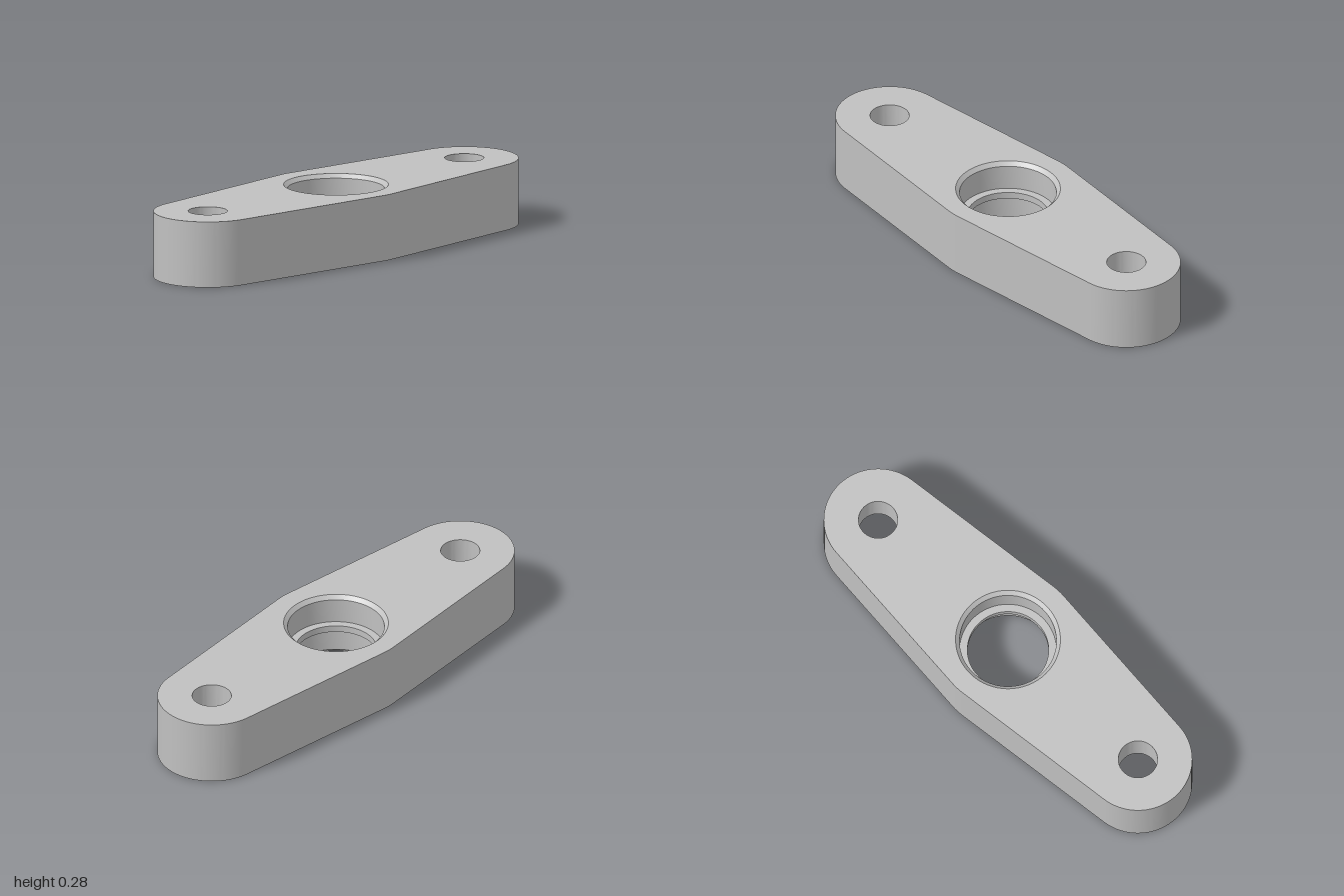
import * as THREE from 'three';
import { toCreasedNormals } from 'three/addons/utils/BufferGeometryUtils.js';

const HEIGHT = 0.2835;
const END_Z = 0.77, END_R = 0.23, MID_R = 0.307;
const BOLT_R = 0.083, HEX_R = 0.16, HEX_DEPTH = 0.13;
const RIM_R = 0.222, BORE_R = 0.205, LIP_R = 0.172, CHAMFER = 0.017;
const LIP_LOW = HEIGHT / 2 - 0.015, LIP_HIGH = HEIGHT / 2 + 0.015;
const SEG = 32; // curve divisions, giving 64 sides per circle

// Tapered plate outline: tangent hull of a middle circle and two end circles
function outline() {
  const t = Math.asin((MID_R - END_R) / END_Z);
  const s = new THREE.Shape();
  s.absarc(0, 0, MID_R, -t, t);
  s.absarc(0, END_Z, END_R, t, Math.PI - t);
  s.absarc(0, 0, MID_R, Math.PI - t, Math.PI + t);
  s.absarc(0, -END_Z, END_R, Math.PI + t, 2 * Math.PI - t);
  s.closePath();
  return s;
}

const circle = (y, r) => new THREE.Path().absarc(0, y, r, 0, Math.PI * 2);

// Hexagon with corners on the x axis
function hexPoints(y) {
  return Array.from({ length: 6 }, (_, i) => new THREE.Vector2(
    HEX_R * Math.cos(i * Math.PI / 3), y + HEX_R * Math.sin(i * Math.PI / 3)));
}

// Flat face at a height, facing up or down
function face(shape, y, up) {
  return new THREE.ShapeGeometry(shape, SEG)
    .rotateX(up ? -Math.PI / 2 : Math.PI / 2).translate(0, y, 0);
}

// Inward-facing surface of revolution; the profile runs from top to bottom
function bore(profile, sides = SEG * 2, start = 0) {
  const pts = profile.map(([r, y]) => new THREE.Vector2(r, y));
  const g = new THREE.LatheGeometry(pts, sides, start);
  g.deleteAttribute('uv');
  return toCreasedNormals(g, 0.5);
}

// Outward-facing upright wall along the outline
function wall(shape) {
  const pts = shape.getPoints(SEG);
  const pos = [];
  pts.forEach((a, i) => {
    const b = pts[(i + 1) % pts.length];
    if (a.distanceTo(b) < 1e-6) return;
    const A = [a.x, 0, -a.y], B = [b.x, 0, -b.y];
    const C = [b.x, HEIGHT, -b.y], D = [a.x, HEIGHT, -a.y];
    pos.push(...A, ...B, ...C, ...A, ...C, ...D);
  });
  const g = new THREE.BufferGeometry();
  g.setAttribute('position', new THREE.Float32BufferAttribute(pos, 3));
  return toCreasedNormals(g, 0.5);
}

export function createModel() {
  const group = new THREE.Group();
  group.name = 'flangePlate';
  const metal = new THREE.MeshStandardMaterial({ color: 0xc0c0c0 });
  metal.name = 'light grey';

  const add = (name, geometry, z = 0) => {
    const mesh = new THREE.Mesh(geometry, metal);
    mesh.name = name;
    mesh.position.z = z;
    group.add(mesh);
  };

  // Plate faces and outer wall
  const top = outline(), bottom = outline();
  top.holes.push(circle(0, RIM_R));
  bottom.holes.push(circle(0, RIM_R));
  for (const y of [-END_Z, END_Z]) {
    top.holes.push(circle(y, BOLT_R));
    bottom.holes.push(new THREE.Path(hexPoints(y)));
  }
  add('topFace', face(top, HEIGHT, true));
  add('bottomFace', face(bottom, 0, false));
  add('outerWall', wall(outline()));

  // Central bore, chamfered at both ends, with a lip at mid-height
  add('centralBore', bore([
    [RIM_R, HEIGHT], [BORE_R, HEIGHT - CHAMFER], [BORE_R, LIP_HIGH], [LIP_R, LIP_HIGH],
    [LIP_R, LIP_LOW], [BORE_R, LIP_LOW], [BORE_R, CHAMFER], [RIM_R, 0],
  ]));

  // Bolt holes with hexagonal nut pockets underneath
  for (const [side, z] of [['front', END_Z], ['back', -END_Z]]) {
    const ceiling = new THREE.Shape(hexPoints(0));
    ceiling.holes.push(circle(0, BOLT_R));
    add(side + 'BoltHole', bore([[BOLT_R, HEIGHT], [BOLT_R, HEX_DEPTH]]), z);
    add(side + 'NutPocketWall', bore([[HEX_R, HEX_DEPTH], [HEX_R, 0]], 6, Math.PI / 6), z);
    add(side + 'NutPocketCeiling', face(ceiling, HEX_DEPTH, false), z);
  }
  return group;
}
